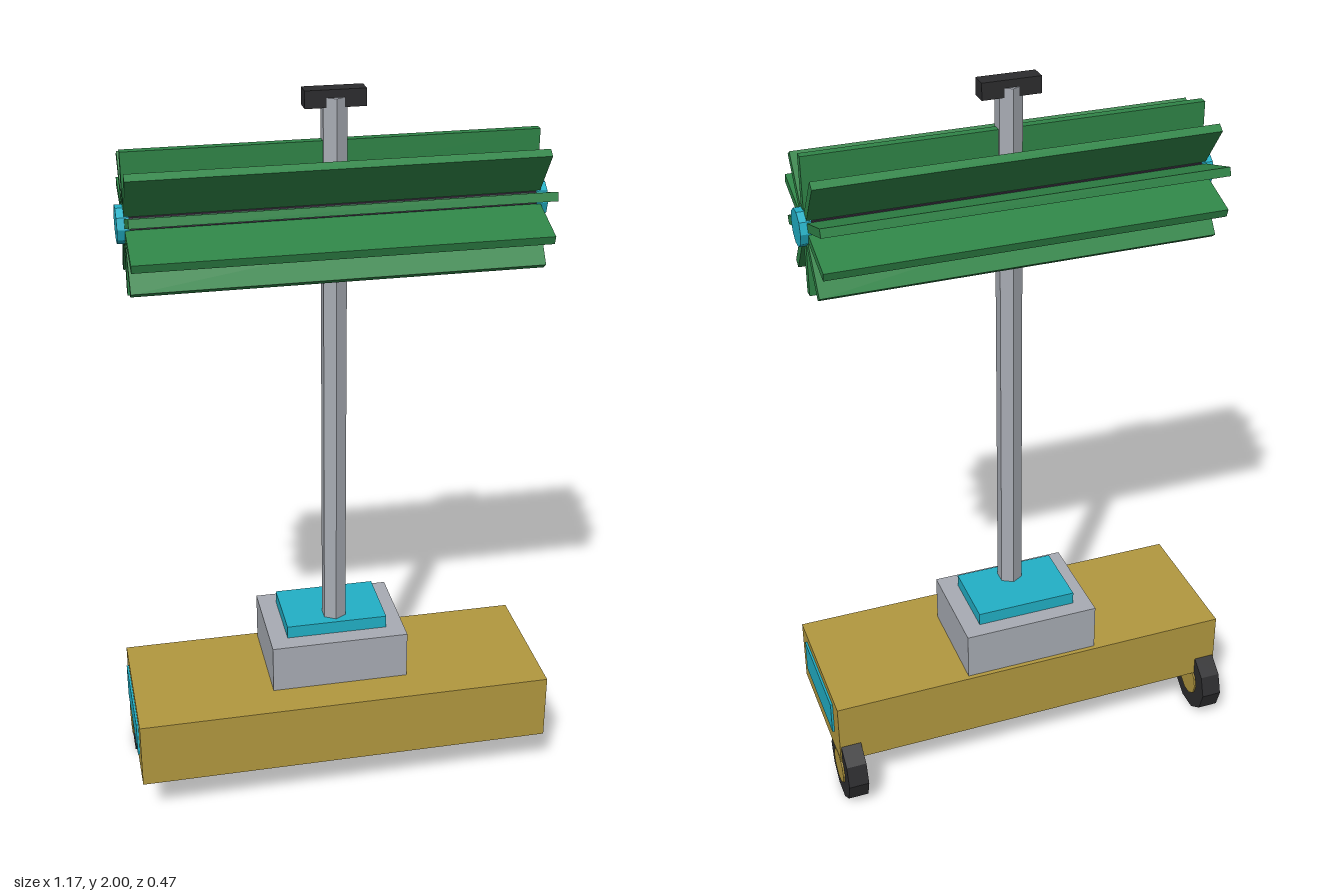
import * as THREE from 'three';

const mat = (name, color) => {
  const m = new THREE.MeshStandardMaterial({ color, flatShading: true });
  m.name = name;
  return m;
};

export function createModel() {
  const model = new THREE.Group();
  model.name = 'spinningBladeStand';

  const ochre = mat('ochre', 0xb2983f);
  const green = mat('green', 0x2f8447);
  const grey = mat('grey', 0xa8acb4);
  const cyan = mat('cyan', 0x22b0c6);
  const black = mat('black', 0x2c2c2e);
  const plum = mat('darkPlum', 0x33283a);

  const add = (parent, name, geometry, material, x, y, z) => {
    const mesh = new THREE.Mesh(geometry, material);
    mesh.name = name;
    mesh.position.set(x, y, z);
    parent.add(mesh);
    return mesh;
  };
  const box = (w, h, d) => new THREE.BoxGeometry(w, h, d);
  // Cylinder lying along x, with a corner pointing to +z
  const roller = (r, length, sides) =>
    new THREE.CylinderGeometry(r, r, length, sides).rotateZ(Math.PI / 2);

  const axisZ = 0.034; // depth of the pole and the blade drum

  // Base and stacked plinth
  add(model, 'base', box(1.16, 0.19, 0.402), ochre, 0, 0.23, axisZ);
  add(model, 'plinth', box(0.385, 0.138, 0.287), grey, 0, 0.394, -0.011);
  add(model, 'plinthTop', box(0.284, 0.037, 0.193), cyan, 0, 0.4805, -0.013);

  // Side panels and rear wheels
  for (const side of [1, -1]) {
    const label = side > 0 ? 'left' : 'right';
    add(model, label + 'Panel', box(0.008, 0.1, 0.292), cyan, side * 0.582, 0.25, 0.036);

    const wheel = new THREE.Group();
    wheel.name = label + 'Wheel';
    wheel.position.set(side * 0.548, 0.095, -0.137);
    add(wheel, 'tyre', roller(0.0985, 0.057, 10), black, 0, 0, 0);
    add(wheel, 'wheelHub', roller(0.05, 0.066, 10), ochre, 0, 0, 0);
    model.add(wheel);
  }

  // Hexagonal pole with a short crossbar on top
  add(model, 'pole', new THREE.CylinderGeometry(0.035, 0.035, 1.485, 6), grey, 0, 1.2375, axisZ);
  add(model, 'crossbar', box(0.154, 0.044, 0.046), black, 0, 1.978, axisZ - 0.001);

  // Drum with ten radial blades
  const drum = new THREE.Group();
  drum.name = 'bladeDrum';
  drum.position.set(0, 1.69, axisZ);
  model.add(drum);
  add(drum, 'drumCore', roller(0.046, 1.04, 10), plum, 0, 0, 0);
  for (const side of [1, -1]) {
    add(drum, 'drumCap', roller(0.048, 0.03, 10), cyan, side * 0.531, 0, 0);
  }
  const bladeGeometry = box(1.054, 0.157, 0.023).translate(0, 0.1045, 0);
  for (let i = 0; i < 10; i++) {
    add(drum, 'blade', bladeGeometry, green, 0, 0, 0).rotation.x = (i * Math.PI) / 5;
  }

  return model;
}
